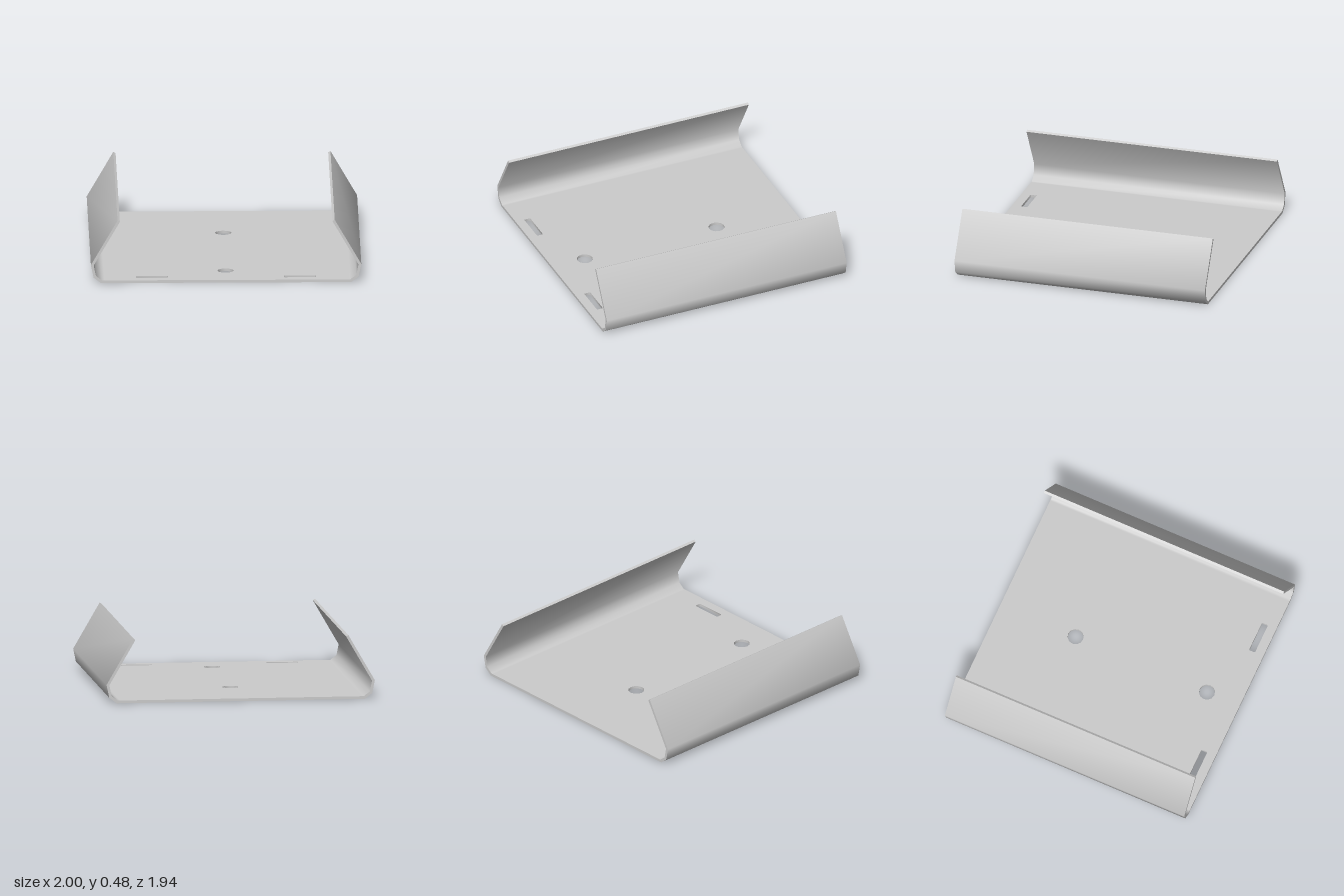
import * as THREE from 'three';
import { toCreasedNormals } from 'three/addons/utils/BufferGeometryUtils.js';

const DEPTH = 1.94;
const THICK = 0.02;
const JOIN = 0.9; // x where the flat base meets the bent sides

export function createModel() {
  const group = new THREE.Group();
  const material = new THREE.MeshStandardMaterial({ color: 0xcccccc });

  const extrude = (shape, depth) =>
    new THREE.ExtrudeGeometry(shape, { depth, bevelEnabled: false, curveSegments: 6 });
  const add = (name, geometry) => {
    const mesh = new THREE.Mesh(toCreasedNormals(geometry, 0.85), material);
    mesh.name = name;
    group.add(mesh);
  };
  const polygon = (points) => points.map(([x, y]) => new THREE.Vector2(x, y));

  // Flat base, drawn in plan (shape y becomes z)
  const h = DEPTH / 2;
  const base = new THREE.Shape(polygon([[-JOIN, -h], [JOIN, -h], [JOIN, h], [-JOIN, h]]));

  // Round mounting holes on the centre line
  for (const z of [-0.36, 0.705]) {
    base.holes.push(new THREE.Path().absarc(0, z, 0.06, 0, Math.PI * 2, true));
  }

  // Slots near the front edge, with slightly clipped corners
  for (const x of [-0.547, 0.547]) {
    const w = 0.118, d = 0.024, c = 0.006;
    const corners = [
      [w, d - c], [w - c, d], [c - w, d], [-w, d - c],
      [-w, c - d], [c - w, -d], [w - c, -d], [w, c - d],
    ];
    base.holes.push(new THREE.Path(polygon(corners.map(([px, pz]) => [x + px, 0.877 + pz]))));
  }
  const baseGeometry = extrude(base, THICK);
  baseGeometry.rotateX(Math.PI / 2).translate(0, THICK, 0);
  add('basePlate', baseGeometry);

  // Bent sides: outer face up to the lip, then inner face back down
  const profile = [
    [JOIN, 0], [0.925, 0], [0.98, 0.042], [1.0, 0.138], [0.803, 0.478],
    [0.786, 0.468], [0.979, 0.135], [0.963, 0.055], [0.917, THICK], [JOIN, THICK],
  ];
  for (const [name, side] of [['leftFlange', 1], ['rightFlange', -1]]) {
    const shape = new THREE.Shape(polygon(profile.map(([x, y]) => [side * x, y])));
    add(name, extrude(shape, DEPTH).translate(0, 0, -h));
  }
  return group;
}
